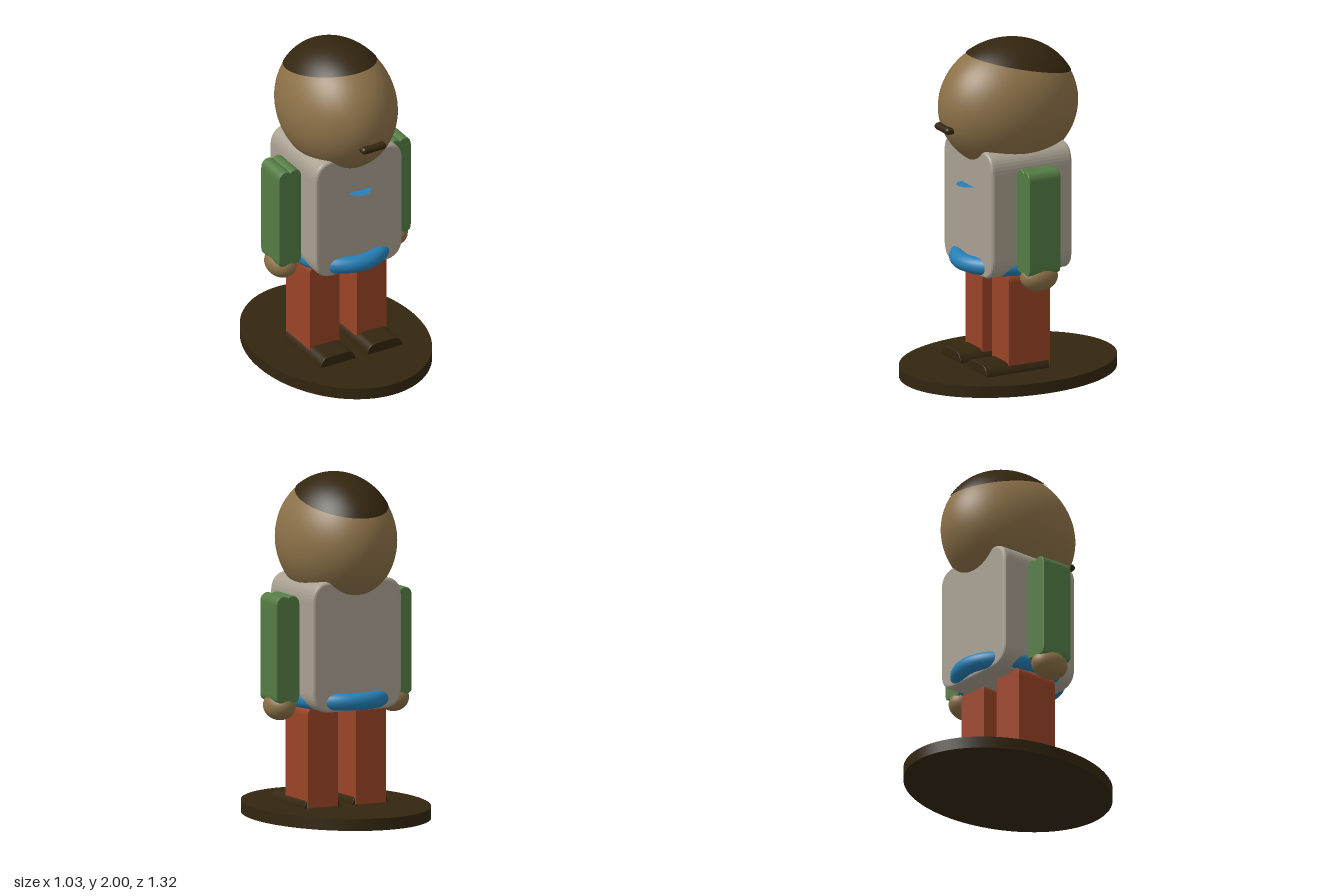
import * as THREE from 'three';
import { RoundedBoxGeometry } from 'three/addons/geometries/RoundedBoxGeometry.js';

const mat = (name, color) => new THREE.MeshStandardMaterial({ name, color });

// Outline in x/y with rounded corners: rt at the top, rb at the bottom.
function roundedShape(w, y0, y1, rt, rb) {
  const s = new THREE.Shape(), h = w / 2;
  s.moveTo(-h + rb, y0);
  s.lineTo(h - rb, y0);
  s.quadraticCurveTo(h, y0, h, y0 + rb);
  s.lineTo(h, y1 - rt);
  s.quadraticCurveTo(h, y1, h - rt, y1);
  s.lineTo(-h + rt, y1);
  s.quadraticCurveTo(-h, y1, -h, y1 - rt);
  s.lineTo(-h, y0 + rb);
  s.quadraticCurveTo(-h, y0, -h + rb, y0);
  return s;
}

// Extrude a front outline between z0 and z1, with an inset edge bevel.
function slab(shape, z0, z1, bevel = 0.008) {
  const g = new THREE.ExtrudeGeometry(shape, {
    depth: z1 - z0 - 2 * bevel, curveSegments: 10,
    bevelEnabled: true, bevelSize: bevel, bevelOffset: -bevel, bevelThickness: bevel, bevelSegments: 3,
  });
  return g.translate(0, 0, z0 + bevel);
}

export function createModel() {
  const model = new THREE.Group();
  const dark = mat('dark brown', 0x33260f);
  const skin = mat('skin', 0x8c7148);
  const shirt = mat('stone grey', 0xa9a091);
  const sleeve = mat('green', 0x547c44);
  const blue = mat('blue', 0x257fb5);
  const trousers = mat('rust red', 0x9b4426);
  blue.side = THREE.DoubleSide;

  const add = (name, geo, material, x = 0, y = 0, z = 0) => {
    const m = new THREE.Mesh(geo, material);
    m.name = name;
    m.position.set(x, y, z);
    model.add(m);
    return m;
  };

  // Oval stand
  add('base', new THREE.CylinderGeometry(1, 1, 0.07, 96).scale(0.513, 1, 0.66), dark, 0, 0.035, 0);

  // Head, with a tilted cap of hair just above its surface
  add('head', new THREE.SphereGeometry(1, 64, 48).scale(0.33, 0.38, 0.425), skin, 0, 1.612, 0);
  const cap = new THREE.SphereGeometry(1, 64, 24, 0, Math.PI * 2, 0, 0.87);
  cap.rotateX(-0.254).scale(0.333, 0.386, 0.429);
  add('hair', cap, dark, 0, 1.612, 0);
  add('mouth', new RoundedBoxGeometry(0.16, 0.042, 0.06, 4, 0.02), dark, 0, 1.518, 0.417);

  // Body, belt ring and the paper-thin disc on the chest
  add('torso', slab(roundedShape(0.58, 0.64, 1.405, 0.12, 0.12), -0.265, 0.265, 0.018), shirt);
  const ring = new THREE.TorusGeometry(0.3, 0.05, 20, 80).rotateX(Math.PI / 2).scale(0.88, 1, 1);
  add('belt', ring, blue, 0, 0.7, 0);
  add('chestDisc', new THREE.CircleGeometry(0.075, 32).rotateX(-Math.PI / 2), blue, 0, 1.16, 0.255);

  // Sleeve outline with a shallow notch between two bumps on top
  const arm = new THREE.Shape();
  arm.moveTo(-0.045, 0.69);
  arm.lineTo(0.045, 0.69);
  arm.quadraticCurveTo(0.075, 0.69, 0.075, 0.73);
  arm.lineTo(0.075, 1.26);
  arm.bezierCurveTo(0.075, 1.31, 0.03, 1.325, 0, 1.302);
  arm.bezierCurveTo(-0.03, 1.325, -0.075, 1.31, -0.075, 1.26);
  arm.lineTo(-0.075, 0.73);
  arm.quadraticCurveTo(-0.075, 0.69, -0.045, 0.69);

  // Shoe outline with sloping, rounded sides
  const shoe = new THREE.Shape();
  shoe.moveTo(-0.118, 0.065);
  shoe.lineTo(0.118, 0.065);
  shoe.lineTo(0.115, 0.085);
  shoe.quadraticCurveTo(0.1, 0.13, 0.06, 0.13);
  shoe.lineTo(-0.06, 0.13);
  shoe.quadraticCurveTo(-0.1, 0.13, -0.115, 0.085);

  // Paired limbs
  for (const [side, s] of [['left', 1], ['right', -1]]) {
    add(side + 'Arm', slab(arm, -0.103, 0.103, 0.006), sleeve, s * 0.367);
    add(side + 'Hand', new THREE.SphereGeometry(1, 32, 24).scale(0.088, 0.085, 0.115), skin, s * 0.37, 0.663, 0);
    add(side + 'Leg', slab(roundedShape(0.2, 0.07, 0.66, 0.05, 0.004), -0.135, 0.138, 0.003), trousers, s * 0.157);
    add(side + 'Shoe', slab(shoe, -0.125, 0.29, 0.004), dark, s * 0.157);
  }
  return model;
}
